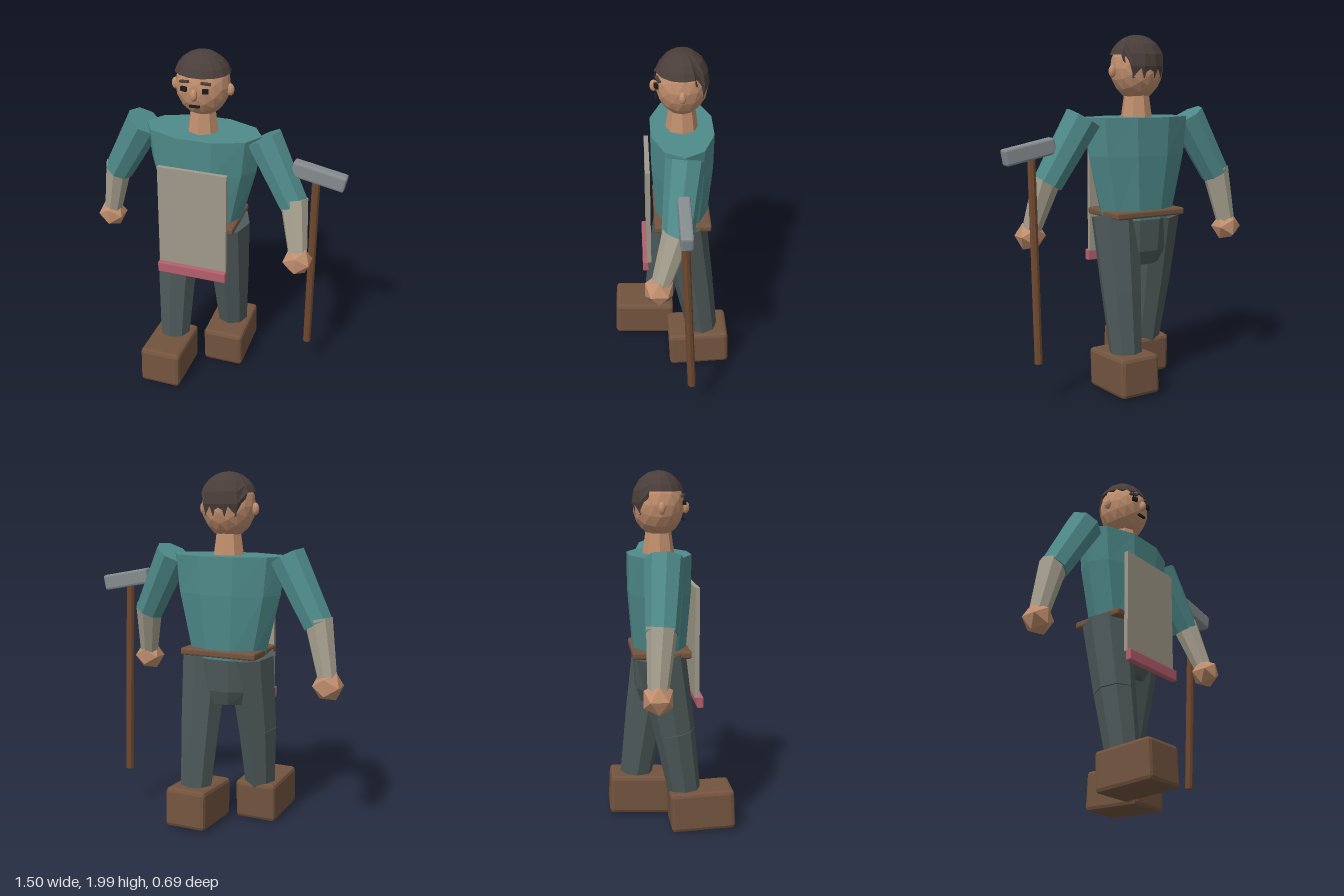
import * as THREE from 'three';
import { RoundedBoxGeometry } from 'three/addons/geometries/RoundedBoxGeometry.js';

const mat = (color) => new THREE.MeshStandardMaterial({ color, flatShading: true });
const M = {
  shirt: mat(0x4f8a8a), skin: mat(0xc18f6e), hair: mat(0x4a3e3a), trousers: mat(0x4d5858),
  boot: mat(0x73543f), sleeve: mat(0xa8a290), apron: mat(0xa09a8a), trim: mat(0xb35f6d),
  metal: mat(0x858c8e), wood: mat(0x70492f), dark: mat(0x1c1a1a),
};
const CX = -0.065, CZ = -0.06; // body axis

export function createModel() {
  const root = new THREE.Group();
  const add = (name, geo, material, pos = [0, 0, 0], rot = [0, 0, 0], parent = root) => {
    const m = new THREE.Mesh(geo, material);
    m.name = name;
    m.position.set(...pos);
    m.rotation.set(...rot);
    parent.add(m);
    return m;
  };
  const group = (name) => {
    const g = new THREE.Group();
    g.name = name;
    root.add(g);
    return g;
  };
  // tapered prism from a to b
  const limb = (name, a, b, ra, rb, material, parent, sides = 8) => {
    const A = new THREE.Vector3(...a), B = new THREE.Vector3(...b);
    const dir = A.clone().sub(B);
    const m = add(name, new THREE.CylinderGeometry(ra, rb, dir.length(), sides), material, [0, 0, 0], [0, 0, 0], parent);
    m.position.copy(A).add(B).multiplyScalar(0.5);
    m.quaternion.setFromUnitVectors(new THREE.Vector3(0, 1, 0), dir.normalize());
    return m;
  };
  // stacked elliptical rings [y, rx, rz], capped at both ends
  const stack = (name, rings, sides, material) => {
    const pos = [], idx = [], n = rings.length;
    for (const [y, rx, rz] of rings)
      for (let i = 0; i < sides; i++) {
        const a = (i / sides) * Math.PI * 2;
        pos.push(Math.cos(a) * rx, y, Math.sin(a) * rz);
      }
    pos.push(0, rings[0][0], 0, 0, rings[n - 1][0], 0);
    const c0 = n * sides, c1 = c0 + 1, top = (n - 1) * sides;
    for (let i = 0; i < sides; i++) {
      const j = (i + 1) % sides;
      for (let k = 0; k < n - 1; k++) {
        const p = k * sides + i, q = k * sides + j;
        idx.push(p, p + sides, q, q, p + sides, q + sides);
      }
      idx.push(c0, i, j, c1, top + j, top + i);
    }
    const g = new THREE.BufferGeometry();
    g.setAttribute('position', new THREE.Float32BufferAttribute(pos, 3));
    g.setIndex(idx);
    const flat = g.toNonIndexed();
    flat.computeVertexNormals();
    return add(name, flat, material, [CX, 0, CZ]);
  };

  // Trunk
  stack('torso', [[0.98, 0.22, 0.15], [1.34, 0.31, 0.178], [1.55, 0.335, 0.18]], 10, M.shirt);
  stack('pelvis', [[0.72, 0.13, 0.11], [0.8, 0.19, 0.14], [1.0, 0.215, 0.15]], 10, M.trousers);
  add('belt', new RoundedBoxGeometry(0.45, 0.04, 0.32, 1, 0.01), M.boot, [CX, 1.015, CZ]);
  add('neck', new THREE.CylinderGeometry(0.07, 0.09, 0.14, 8), M.skin, [CX, 1.61, CZ]);

  // Apron
  add('apronPanel', new THREE.BoxGeometry(0.4, 0.61, 0.025), M.apron, [CX, 1.075, 0.133]);
  add('apronHem', new RoundedBoxGeometry(0.41, 0.065, 0.035, 1, 0.006), M.trim, [CX, 0.743, 0.152]);

  // Arms: shoulder, elbow, wrist, hand
  const arms = {
    right: [[-0.41, 1.55, -0.06], [-0.605, 1.2, -0.095], [-0.67, 0.92, -0.12], [-0.675, 0.88, -0.12]],
    left: [[0.28, 1.55, -0.06], [0.475, 1.2, -0.01], [0.53, 0.95, 0.075], [0.535, 0.905, 0.09]],
  };
  for (const [side, [shoulder, elbow, wrist, hand]] of Object.entries(arms)) {
    const g = group(side + 'Arm');
    limb('upperArm', shoulder, elbow, 0.105, 0.085, M.shirt, g);
    limb('forearm', [elbow[0], elbow[1] + 0.03, elbow[2]], wrist, 0.08, 0.055, M.sleeve, g);
    add('hand', new THREE.IcosahedronGeometry(0.087, 0), M.skin, hand, [0, 0, 0], g);
  }

  // Legs in mid stride: hip, knee, ankle, boot centre and pitch
  const legs = {
    right: [[-0.2, 1.0, -0.06], [-0.213, 0.57, 0.015], [-0.21, 0.22, 0.07], [-0.21, 0.125, 0.165], -0.045],
    left: [[0.075, 1.0, -0.06], [0.08, 0.57, -0.13], [0.083, 0.22, -0.185], [0.08, 0.125, -0.16], 0.045],
  };
  for (const [side, [hip, knee, ankle, foot, pitch]] of Object.entries(legs)) {
    const g = group(side + 'Leg');
    limb('thigh', hip, knee, 0.138, 0.115, M.trousers, g);
    limb('shin', knee, ankle, 0.114, 0.092, M.trousers, g);
    add('boot', new RoundedBoxGeometry(0.245, 0.225, 0.36, 1, 0.022), M.boot, foot, [pitch, 0, 0], g);
  }

  // Head
  const head = group('head');
  const skull = new THREE.IcosahedronGeometry(1, 2).scale(0.15, 0.175, 0.142);
  add('skull', skull, M.skin, [CX, 1.815, CZ], [0, 0, 0], head);
  for (const s of [-1, 1]) {
    add('ear', new THREE.IcosahedronGeometry(1, 1).scale(0.022, 0.035, 0.02), M.skin, [CX + s * 0.155, 1.8, -0.055], [0, 0, 0], head);
    add('eye', new THREE.BoxGeometry(0.034, 0.024, 0.016), M.dark, [CX + s * 0.06, 1.826, 0.078], [0, s * 0.3, 0], head);
    add('brow', new THREE.BoxGeometry(0.055, 0.012, 0.016), M.hair, [CX + s * 0.06, 1.864, 0.07], [0, s * 0.3, -s * 0.15], head);
  }
  add('nose', new THREE.IcosahedronGeometry(1, 1).scale(0.019, 0.034, 0.022), M.skin, [CX, 1.8, 0.09], [0, 0, 0], head);
  add('mouth', new THREE.BoxGeometry(0.055, 0.012, 0.014), M.dark, [CX, 1.735, 0.08], [0, 0, 0], head);

  // Hair: dome whose lower edge drops at the nape, last ring tucked inward
  const hair = new THREE.SphereGeometry(1, 14, 6);
  const p = hair.attributes.position, uv = hair.attributes.uv;
  for (let i = 0; i < p.count; i++) {
    const row = Math.round((1 - uv.getY(i)) * 6);
    const a = uv.getX(i) * Math.PI * 2; // front is +z at a quarter turn
    const back = -Math.sin(a) > 0.5;
    const end = back ? 2.02 : 1.24;
    const t = (Math.min(row, 5) / 5) * end, r = row === 6 ? 0.85 : 1;
    p.setXYZ(i, -Math.cos(a) * Math.sin(t) * 0.163 * r, Math.cos(t) * 0.165, Math.sin(a) * Math.sin(t) * 0.147 * r);
  }
  const hairFlat = hair.toNonIndexed();
  hairFlat.computeVertexNormals();
  const hairMat = M.hair.clone();
  hairMat.side = THREE.DoubleSide;
  add('hair', hairFlat, hairMat, [CX, 1.835, CZ], [0, 0, 0], head);

  // Hammer
  const hammer = group('hammer');
  limb('handle', [0.585, 1.38, -0.038], [0.585, 0.23, -0.09], 0.023, 0.023, M.wood, hammer);
  add('hammerHead', new RoundedBoxGeometry(0.3, 0.09, 0.065, 1, 0.012), M.metal, [0.6, 1.38, -0.042], [0, 0, -0.19], hammer);

  return root;
}
